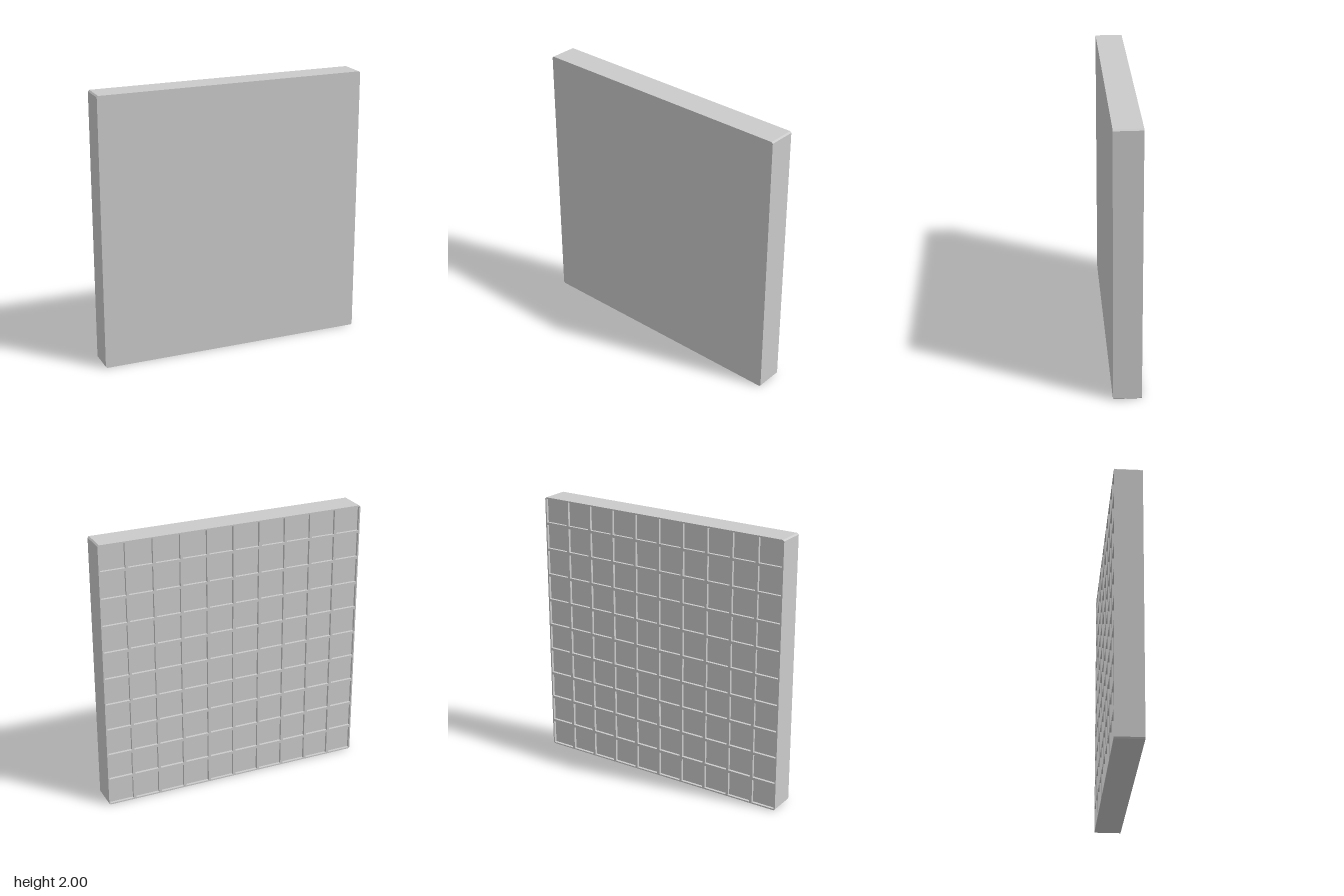
import * as THREE from 'three';

const CELLS = 10, PITCH = 0.2, RIM = 0.01;
const THICKNESS = 0.2, RECESS = 0.02;

// Square outline with tiny cut corners
function slabShape() {
  const a = 1, b = 1 - RIM;
  return new THREE.Shape([
    [a, -b], [a, b], [b, a], [-b, a], [-a, b], [-a, -b], [-b, -a], [b, -a],
  ].map(([x, y]) => new THREE.Vector2(x, y)));
}

// One square opening between the ribs
function cellHole(cx, cy) {
  const h = PITCH / 2 - RIM;
  return new THREE.Path([
    [cx - h, cy - h], [cx - h, cy + h], [cx + h, cy + h], [cx + h, cy - h],
  ].map(([x, y]) => new THREE.Vector2(x, y)));
}

export function createModel() {
  const group = new THREE.Group();
  group.name = 'wallPanel';
  const material = new THREE.MeshStandardMaterial({ color: 0xcccccc, flatShading: true });

  const add = (name, shape, depth, z) => {
    const geometry = new THREE.ExtrudeGeometry(shape, { depth, bevelEnabled: false });
    const mesh = new THREE.Mesh(geometry, material);
    mesh.name = name;
    mesh.position.set(0, 1, z);
    group.add(mesh);
  };

  // Solid slab with a plain front
  add('slab', slabShape(), THICKNESS - RECESS, RECESS - THICKNESS / 2);

  // Raised grid of ribs on the back, leaving shallow square recesses
  const grid = slabShape();
  for (let i = 0; i < CELLS; i++) {
    for (let j = 0; j < CELLS; j++) {
      grid.holes.push(cellHole((i + 0.5) * PITCH - 1, (j + 0.5) * PITCH - 1));
    }
  }
  add('backRibs', grid, RECESS, -THICKNESS / 2);

  return group;
}
